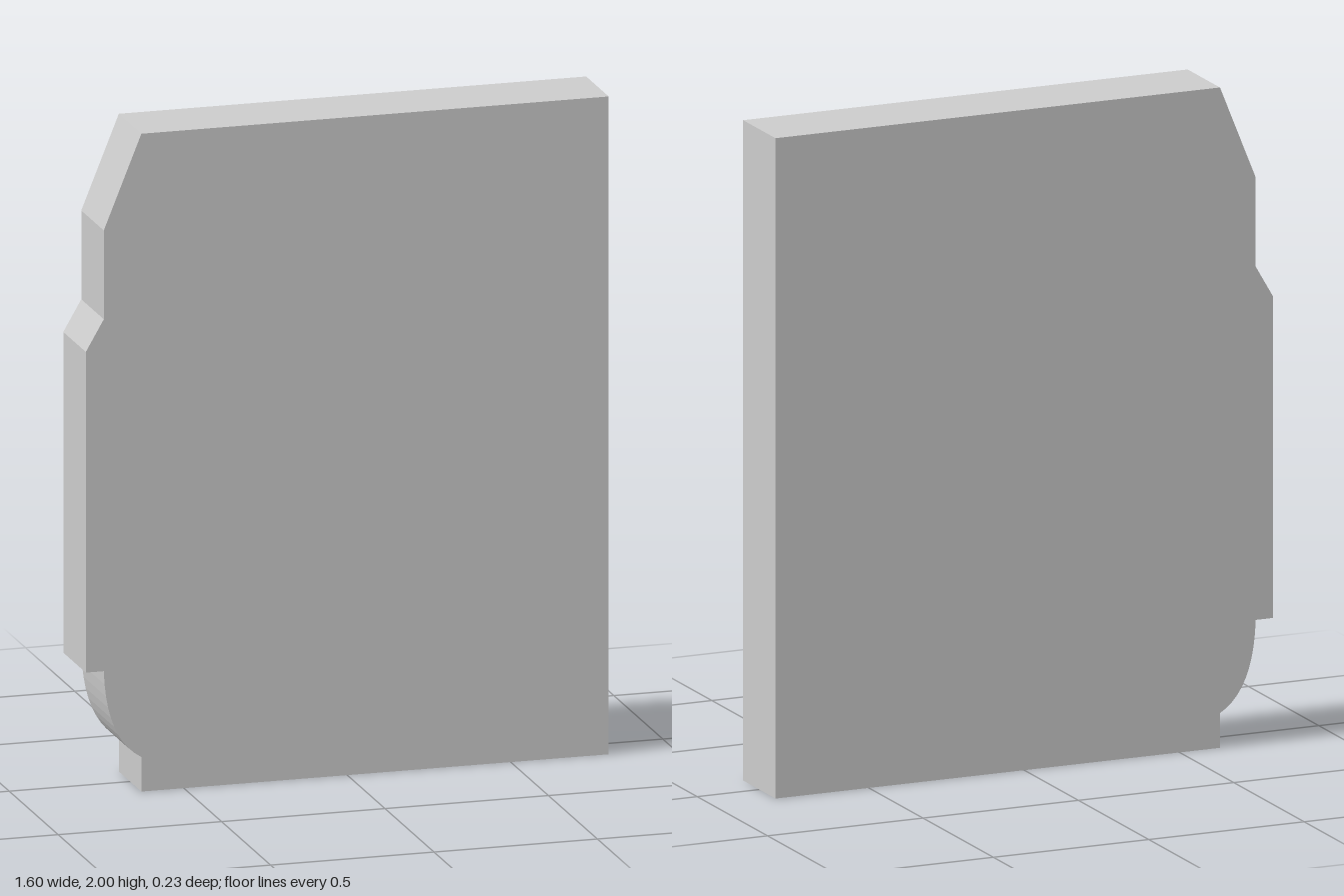
import * as THREE from 'three';

const DEPTH = 0.23;

export function createModel() {
  const group = new THREE.Group();
  group.name = 'profiledPanel';

  // Panel outline, counter-clockwise, with the moulded edge on the -x side
  const outline = new THREE.Shape();
  outline.moveTo(-0.63, 0);
  outline.lineTo(0.8, 0);
  outline.lineTo(0.8, 2);
  outline.lineTo(-0.63, 2);
  outline.lineTo(-0.745, 1.715); // upper chamfer
  outline.lineTo(-0.745, 1.445);
  outline.lineTo(-0.8, 1.35); // small bevel out to the raised band
  outline.lineTo(-0.8, 0.375);
  outline.lineTo(-0.745, 0.375); // step under the band
  outline.quadraticCurveTo(-0.738, 0.165, -0.63, 0.105); // rounded foot moulding
  outline.lineTo(-0.63, 0);

  const geometry = new THREE.ExtrudeGeometry(outline, {
    depth: DEPTH,
    bevelEnabled: false,
    curveSegments: 10,
  });
  geometry.translate(0, 0, -DEPTH / 2);

  const panel = new THREE.Mesh(
    geometry,
    new THREE.MeshStandardMaterial({ color: 0xcccccc, flatShading: true })
  );
  panel.name = 'panel';
  group.add(panel);

  return group;
}
